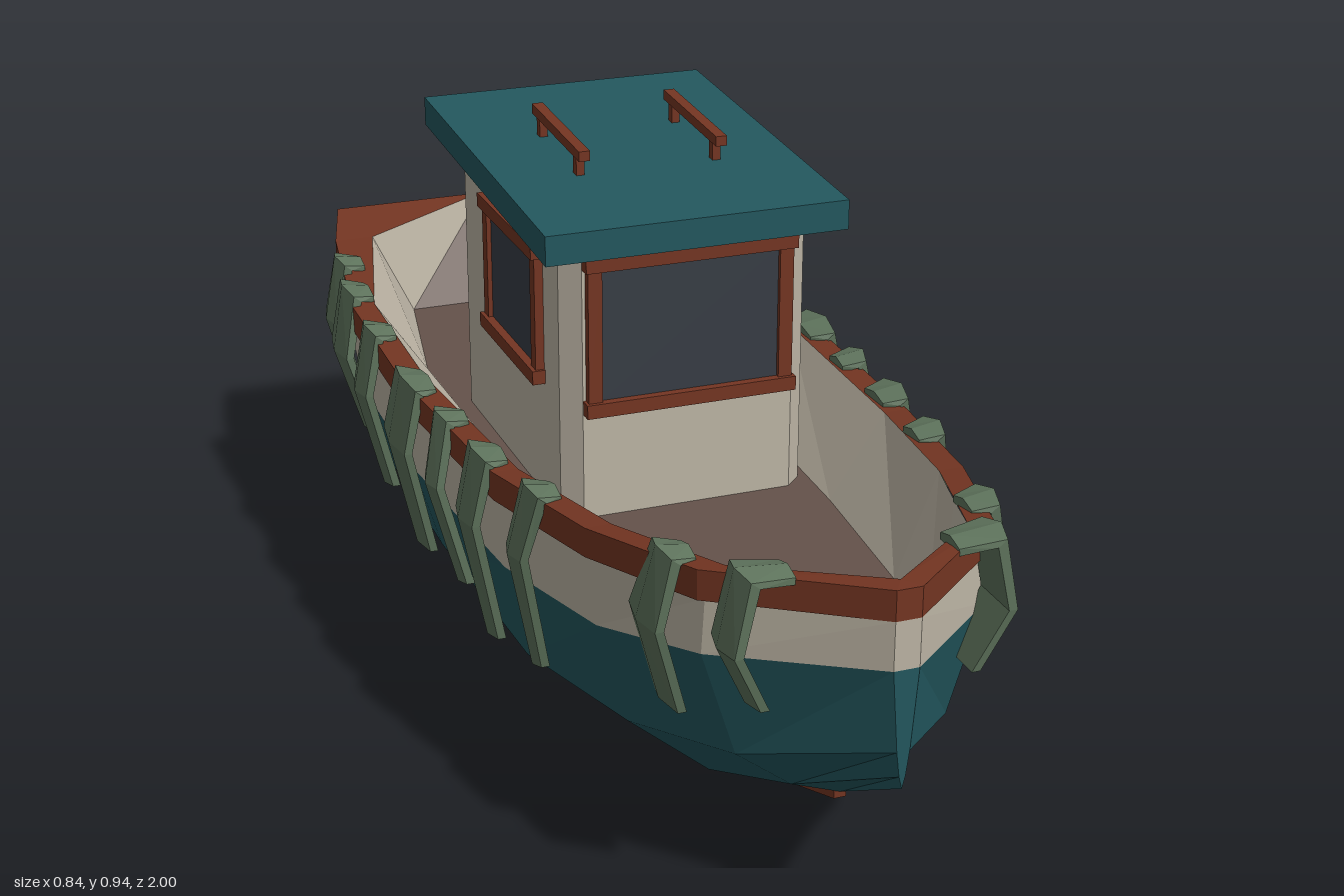
import * as THREE from 'three';

const mat = (name, color) => Object.assign(new THREE.MeshStandardMaterial({ color }), { name });

export function createModel() {
  const teal = mat('teal paint', 0x23575e), cream = mat('cream paint', 0xbdb5a5);
  const wood = mat('red wood', 0x743522), deckBrown = mat('deck brown', 0x64524a);
  const glass = mat('dark glass', 0x373d45), weed = mat('weed green', 0x5e735c);
  const boat = new THREE.Group();
  boat.name = 'boat';

  const add = (parent, name, geo, material) => {
    const flat = geo.index ? geo.toNonIndexed() : geo;
    flat.computeVertexNormals();
    const m = new THREE.Mesh(flat, material);
    m.name = name;
    parent.add(m);
    return m;
  };
  const box = (parent, name, material, w, h, d, x, y, z) =>
    add(parent, name, new THREE.BoxGeometry(w, h, d).translate(x, y, z), material);

  // Skin between half cross-sections running bow to stern, mirrored in x
  const skin = (rings) => {
    const out = [];
    const tri = (a, b, c) => {
      for (const p of [a, b, c]) out.push(p[0], p[1], p[2]);
      for (const p of [a, c, b]) out.push(-p[0], p[1], p[2]);
    };
    for (let i = 0; i < rings.length - 1; i++)
      for (let j = 0; j < rings[i].length - 1; j++) {
        const a = rings[i][j], b = rings[i][j + 1], c = rings[i + 1][j + 1], d = rings[i + 1][j];
        tri(a, b, c);
        tri(a, c, d);
      }
    const g = new THREE.BufferGeometry();
    g.setAttribute('position', new THREE.Float32BufferAttribute(out, 3));
    return g;
  };
  // Closes the bow and stern by adding centreline rings
  const capped = (rings) => {
    const centre = (r) => r.map(([, y, z]) => [0, y, z]);
    return [centre(rings[0]), ...rings, centre(rings[rings.length - 1])];
  };

  // Hull stations: z, rail x, rail y, band x, band y, chine x, chine y, bilge x, bilge y, keel y
  const stations = [
    [1.0, .02, .585, .02, .46, .01, .33, .005, .29, .27],
    [.8, .22, .56, .225, .425, .17, .25, .08, .18, .15],
    [.55, .30, .525, .295, .36, .245, .185, .11, .07, .05],
    [.25, .35, .495, .345, .325, .31, .16, .14, .037, .025],
    [-.2, .375, .483, .37, .31, .325, .157, .145, .035, .025],
    [-.55, .372, .493, .365, .318, .32, .163, .14, .037, .025],
    [-.86, .325, .513, .32, .345, .275, .195, .13, .085, .07],
    [-1.0, .285, .53, .285, .37, .245, .225, .13, .145, .13],
  ];
  const RAIL = 0.048;
  add(boat, 'lowerHull', skin(capped(stations.map(([z, , , wx, wy, cx, cy, bx, by, ky]) =>
    [[wx, wy, z], [cx, cy, z], [bx, by, z], [0, ky, z]]))), teal);
  add(boat, 'hullBand', skin(capped(stations.map(([z, x, y, wx, wy]) =>
    [[x, y - RAIL, z], [wx, wy, z]]))), cream);

  // Inner edge of the rail: pinched to a point at bow and stern
  const last = stations.length - 1;
  const inner = stations.map(([z, x, y], i) =>
    i === 0 ? [0, y, .97] : i === last ? [0, y, -1] : [x - (i === last - 1 ? .062 : .03), y, z]);
  const railRings = stations.map(([z, x, y], i) => {
    const o = i === 0 ? x : x + .012;
    return [inner[i], [o, y, z], [o, y - RAIL, z], [x - .01, y - RAIL, z]];
  });
  const stern = railRings[last].map(([, y, z]) => [0, y, z]);
  const stem = railRings[0].map(([, y, z], j) => [0, y, j ? z : .97]);
  add(boat, 'gunwaleRail', skin([stem, ...railRings, stern]), wood);

  // Deck and inner bulwark
  const FLOOR = 0.35;
  const floorW = [0, .15, .2, .225, .24, .245, .185, 0];
  const floorY = [.56, .385, FLOOR, FLOOR, FLOOR, FLOOR, FLOOR, .525];
  const edge = inner.map((p, i) => [floorW[i], floorY[i], p[2]]);
  edge.splice(2, 0, [.19, FLOOR, .69]);
  const top = inner.slice();
  top.splice(2, 0, [.224, .544, .69]);
  add(boat, 'deck', skin(edge.map((p) => [[0, p[1], p[2]], p])), deckBrown);
  add(boat, 'innerBulwark', skin(edge.map((p, i) => [p, top[i]])), cream);

  // Keel strip: z, half width, top y, bottom y
  const keel = [[.8, .01, .17, .14], [.53, .015, .07, .035], [.3, .02, .04, 0],
    [-.55, .02, .04, .004], [-.8, .018, .075, .035]];
  add(boat, 'keel', skin(capped(keel.map(([z, w, t, b]) => [[w, t, z], [w, b, z], [0, b, z]]))), wood);

  // Cabin with chamfered corners and a top sloping with the roof
  const cabin = new THREE.Group();
  cabin.name = 'cabin';
  boat.add(cabin);
  const roofY = (z) => 0.828 - 0.06 * z;
  const W = .213, Z0 = -.4, Z1 = .172, C = .03;
  const plan = new THREE.Shape([[W, Z0 + C], [W, Z1 - C], [W - C, Z1], [C - W, Z1], [-W, Z1 - C],
    [-W, Z0 + C], [C - W, Z0], [W - C, Z0]].map(([x, z]) => new THREE.Vector2(x, -z)));
  const walls = new THREE.ExtrudeGeometry(plan, { depth: 1, bevelEnabled: false }).rotateX(-Math.PI / 2);
  const wp = walls.attributes.position;
  for (let i = 0; i < wp.count; i++)
    wp.setY(i, wp.getY(i) > .5 ? roofY(wp.getZ(i)) + .01 : FLOOR - .01);
  add(cabin, 'cabinWalls', walls, cream);

  const slope = (geo) => {
    const p = geo.attributes.position;
    for (let i = 0; i < p.count; i++) p.setY(i, p.getY(i) + roofY(p.getZ(i)));
    return geo;
  };
  add(cabin, 'roof', slope(new THREE.BoxGeometry(.516, .05, .675).translate(0, .025, -.118)), teal);
  for (const x of [-.12, .12]) {
    add(cabin, 'roofHandrail', slope(new THREE.BoxGeometry(.019, .017, .245).translate(x, .09, -.113)), wood);
    for (const z of [-.02, -.21])
      add(cabin, 'handrailPost', slope(new THREE.BoxGeometry(.014, .04, .016).translate(x, .066, z)), wood);
  }

  // Framed panes, built facing +z then turned to their wall
  const pane = (name, w, y0, y1, x, z, turn) => {
    const g = new THREE.Group(), h = y1 - y0, t = .024;
    g.name = name;
    for (const s of [-1, 1])
      box(g, 'frameSide', wood, t, h - 2 * t, .018, s * (w - t) / 2, h / 2, .006);
    for (const y of [t / 2, h - t / 2])
      box(g, 'frameBar', wood, w + .01, t, .026, 0, y, .009);
    box(g, 'glass', glass, w - 2 * t, h - 2 * t, .008, 0, h / 2, .003);
    g.position.set(x, y0, z);
    g.rotation.y = turn;
    cabin.add(g);
  };
  pane('frontWindow', .355, .535, .808, 0, Z1, 0);
  pane('backDoor', .335, .36, .808, 0, Z0, Math.PI);
  pane('leftWindow', .285, .555, .797, W, -.077, Math.PI / 2);
  pane('rightWindow', .285, .555, .797, -W, -.077, -Math.PI / 2);

  // Hanging weed: z, top width, bottom y, bottom z, bottom width
  const strands = [
    [.87, .10, .37, .86, .07], [.73, .10, .295, .68, .11], [.385, .10, .19, .335, .035],
    [.19, .12, .17, .175, .055], [.015, .09, .205, .04, .04], [-.165, .16, .18, -.18, .10],
    [-.405, .11, .2, -.4, .05], [-.6, .13, .24, -.575, .09], [-.735, .1, .23, -.73, .06],
  ];
  const hullAt = (z) => {
    const i = Math.max(0, stations.findIndex((s) => s[0] <= z) - 1);
    const a = stations[i], b = stations[i + 1], t = (a[0] - z) / (a[0] - b[0]);
    return [1, 2].map((k) => a[k] + (b[k] - a[k]) * t);
  };
  for (const side of [1, -1]) {
    const weeds = new THREE.Group();
    weeds.name = side > 0 ? 'leftWeed' : 'rightWeed';
    weeds.scale.x = side;
    boat.add(weeds);
    for (const [z, w, yb, zb, wb] of strands) {
      const [hx, hy] = hullAt(z);
      const bow = z > .8 ? .03 : 0;
      // Rows from top to tip: x, y, centre z, width
      const rows = [
        [hx - .025, hy + .004, z, w * .6],
        [hx + .012 + bow, hy + .012, z, w * .8],
        [hx + .035 + bow, hy - .1, z + (zb - z) * .4, (w + wb) * .52],
        [hx - .012 + bow, yb, zb, wb],
      ];
      const geo = new THREE.BoxGeometry(1, 3, 1, 1, 3, 2), p = geo.attributes.position;
      for (let i = 0; i < p.count; i++) {
        const r = Math.round(1.5 - p.getY(i)), [x, y, cz, rw] = rows[r];
        const out = p.getX(i) > 0, mid = Math.abs(p.getZ(i)) < .1;
        const thick = out ? (mid ? .014 : .004) : -.01;
        p.setXYZ(i, x + (r ? thick : 0), y + (r < 2 ? thick * .8 : 0), cz + p.getZ(i) * rw);
      }
      add(weeds, 'weedStrand', geo, weed);
    }
  }
  return boat;
}
